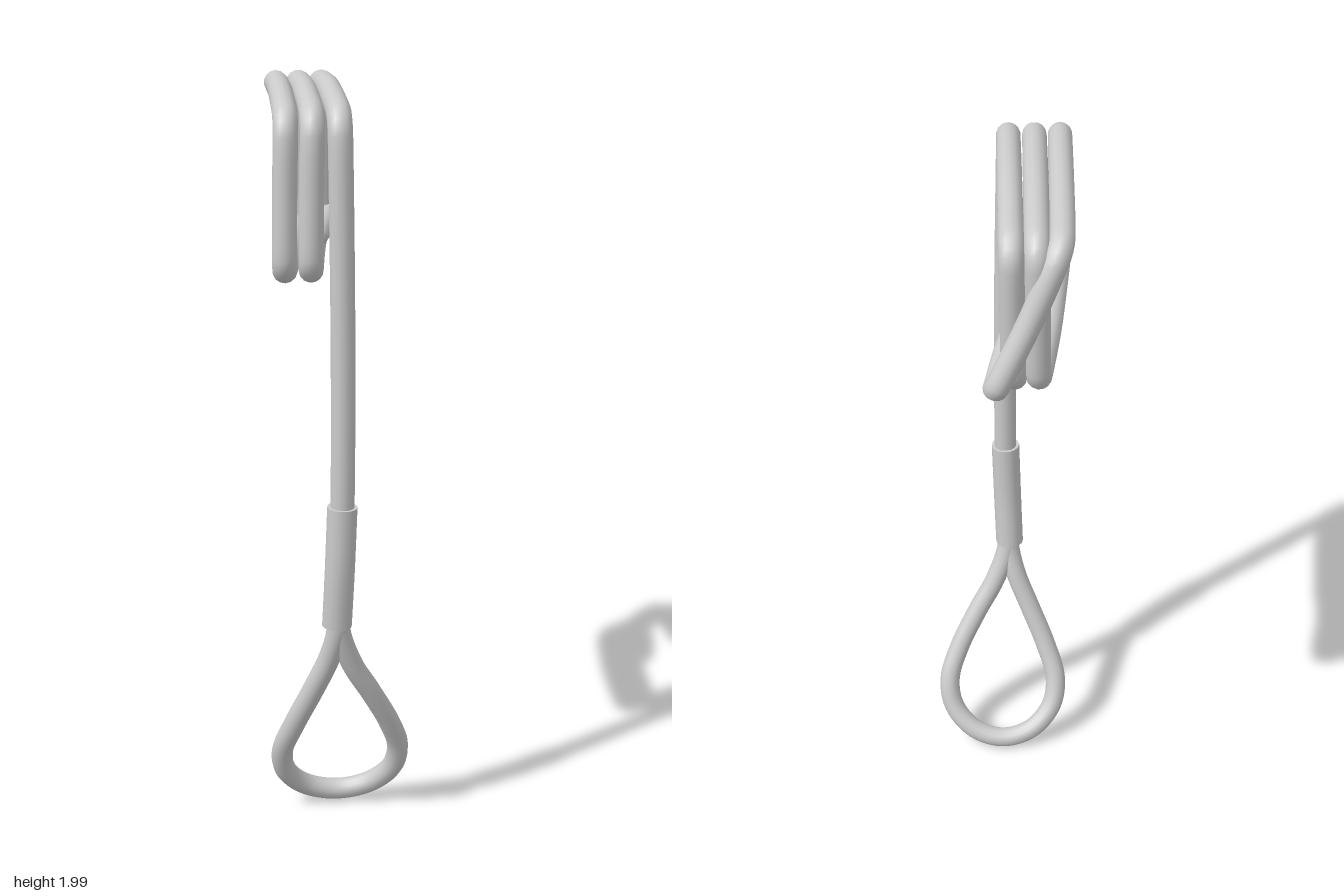
import * as THREE from 'three';

const ROPE = 0.031;
const material = new THREE.MeshStandardMaterial({ color: 0xcccccc });
const v = (x, y, z) => new THREE.Vector3(x, y, z);

function tube(name, points, radius, segments, closed = false) {
  const curve = new THREE.CatmullRomCurve3(points, closed, 'centripetal');
  const mesh = new THREE.Mesh(new THREE.TubeGeometry(curve, segments, radius, 14, closed), material);
  mesh.name = name;
  return mesh;
}

// Replaces each marked corner with a short rounded bend
function roundCorners(path) {
  const out = [];
  path.forEach(({ p, r }, i) => {
    if (!r) return out.push(p);
    const a = p.clone().add(path[i - 1].p.clone().sub(p).setLength(r));
    const b = p.clone().add(path[i + 1].p.clone().sub(p).setLength(r));
    const bend = new THREE.QuadraticBezierCurve3(a, p, b);
    out.push(...bend.getPoints(4));
  });
  return out;
}

export function createModel() {
  const group = new THREE.Group();
  group.name = 'coiledRope';

  // Straight riser followed by three turns of the coil
  const path = [];
  const add = (x, y, z, r = 0) => path.push({ p: v(x, y, z), r });
  add(-0.016, 0.75, 0.327);
  add(-0.01, 0.95, 0.332);
  add(-0.009, 1.4, 0.33);
  const frontX = [-0.016, -0.082, -0.147];
  const backX = [-0.013, -0.073, -0.132];
  for (let i = 0; i < 3; i++) {
    const f = frontX[i], b = backX[i];
    add(f, 1.95, 0.326, 0.07);
    add((f + b) / 2, 1.968, 0.02);
    add(b, 1.95, -0.282, 0.065);
    if (i === 2) break;
    const next = frontX[i + 1];
    add(b - 0.008, 1.555, -0.25, 0.05);
    add((b + next) / 2 - 0.008, 1.546, 0.02);
    add(next - 0.006, 1.565, 0.33, 0.045);
    add(next - 0.004, 1.75, 0.329);
  }
  // Last turn crosses behind the coil and tucks inside it
  add(-0.055, 1.76, -0.308);
  add(0.03, 1.58, -0.338, 0.045);
  add(-0.012, 1.598, -0.13);
  add(-0.04, 1.585, -0.025);
  const points = roundCorners(path);
  group.add(tube('coil', points, ROPE, 420));

  // Rounded rope end
  const tip = new THREE.Mesh(new THREE.SphereGeometry(ROPE, 14, 10), material);
  tip.position.copy(points[points.length - 1]);
  tip.name = 'ropeEnd';
  group.add(tip);

  // Teardrop eye hanging forward from the sleeve
  group.add(tube('eyeLoop', [
    v(-0.014, 0.72, 0.325), v(-0.016, 0.61, 0.312), v(0.02, 0.5, 0.288),
    v(0.075, 0.4, 0.258), v(0.13, 0.29, 0.218), v(0.158, 0.2, 0.18),
    v(0.145, 0.12, 0.148), v(0.085, 0.057, 0.114), v(0, 0.034, 0.1),
    v(-0.085, 0.057, 0.112), v(-0.145, 0.12, 0.146), v(-0.158, 0.2, 0.182),
    v(-0.128, 0.3, 0.225), v(-0.083, 0.41, 0.262), v(-0.04, 0.52, 0.292),
    v(-0.02, 0.61, 0.314), v(-0.014, 0.72, 0.325),
  ], 0.029, 140));

  // Slightly bent crimp sleeve with closed ends
  const sleevePath = [v(-0.022, 0.622, 0.315), v(-0.016, 0.78, 0.328), v(-0.01, 0.955, 0.332)];
  group.add(tube('sleeve', sleevePath, 0.039, 16));
  [[0, 1], [2, 1]].forEach(([end, inner]) => {
    const cap = new THREE.Mesh(new THREE.CircleGeometry(0.039, 14), material);
    const outward = sleevePath[end].clone().sub(sleevePath[inner]).normalize();
    cap.position.copy(sleevePath[end]);
    cap.quaternion.setFromUnitVectors(v(0, 0, 1), outward);
    cap.name = 'sleeveCap';
    group.add(cap);
  });

  return group;
}
